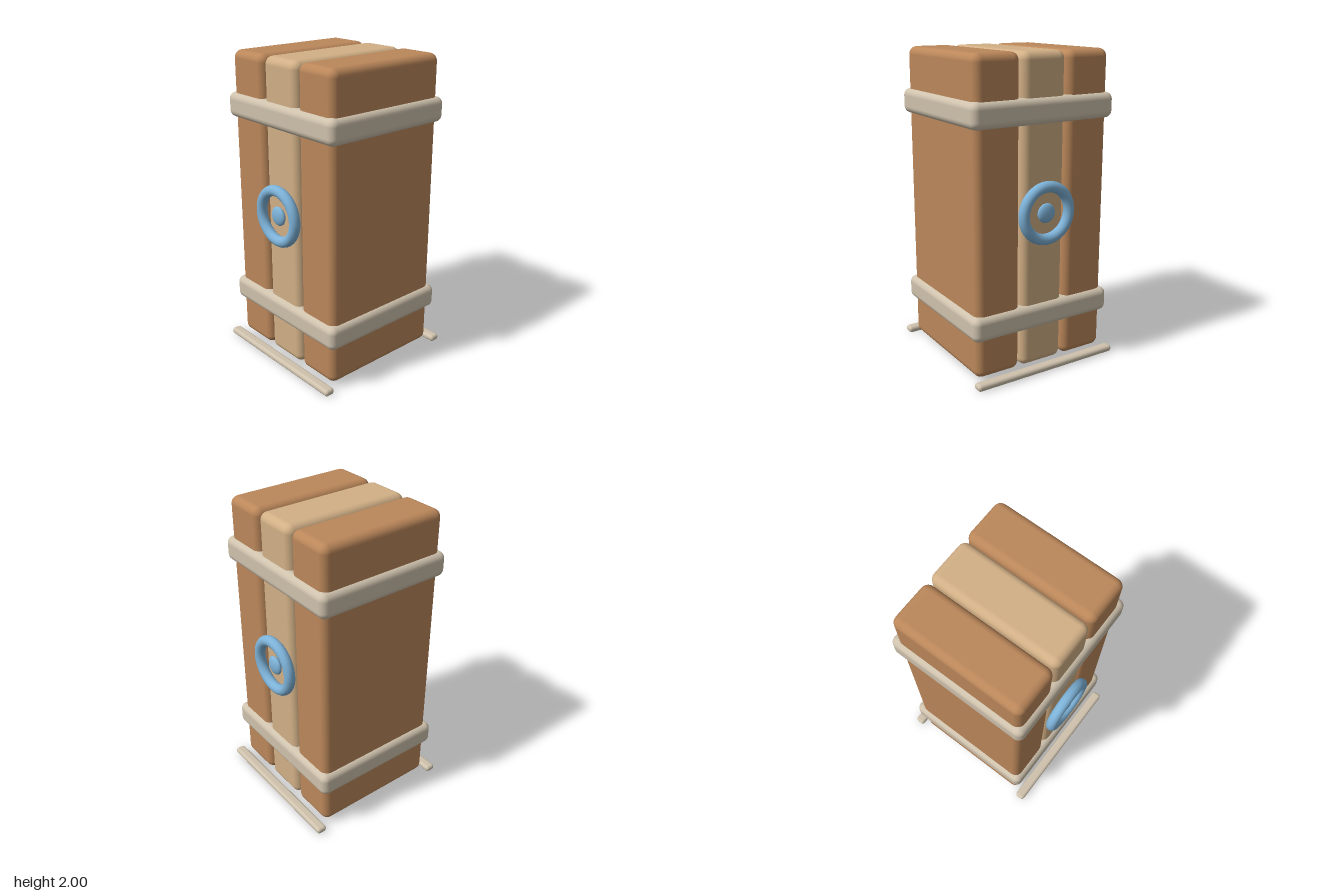
import * as THREE from 'three';
import { RoundedBoxGeometry } from 'three/addons/geometries/RoundedBoxGeometry.js';

const material = (name, color) => {
  const m = new THREE.MeshStandardMaterial({ color });
  m.name = name;
  return m;
};

export function createModel() {
  const brown = material('brown wood', 0xbb875a);
  const tan = material('light wood', 0xd2b086);
  const beige = material('beige strap', 0xcfc2ad);
  const blue = material('blue emblem', 0x7db2d8);

  const model = new THREE.Group();
  model.name = 'plankCrate';

  const add = (name, geometry, mat, x, y, z) => {
    const mesh = new THREE.Mesh(geometry, mat);
    mesh.name = name;
    mesh.position.set(x, y, z);
    model.add(mesh);
    return mesh;
  };

  // three upright planks
  const plank = new RoundedBoxGeometry(0.31, 1.97, 0.866, 4, 0.05);
  add('rightPlank', plank, brown, -0.32, 1.015, 0);
  add('middlePlank', plank, tan, 0, 1.015, 0);
  add('leftPlank', plank, brown, 0.32, 1.015, 0);

  // straps around the planks
  const strap = new RoundedBoxGeometry(1.01, 0.16, 0.926, 4, 0.045);
  add('lowerStrap', strap, beige, 0, 0.365, 0);
  add('upperStrap', strap, beige, 0, 1.655, 0);

  // ring, button and ground rail, front and back
  const ring = new THREE.TorusGeometry(0.165, 0.035, 16, 40);
  const button = new THREE.SphereGeometry(0.062, 24, 16);
  const rail = new RoundedBoxGeometry(1.03, 0.044, 0.068, 4, 0.02);
  for (const [side, s] of [['front', 1], ['back', -1]]) {
    add(side + 'Ring', ring, blue, 0, 1.035, s * 0.465);
    add(side + 'Button', button, blue, 0, 1.035, s * 0.46).scale.z = 0.4;
    add(side + 'Rail', rail, beige, 0, 0.022, s * 0.485);
  }
  return model;
}
